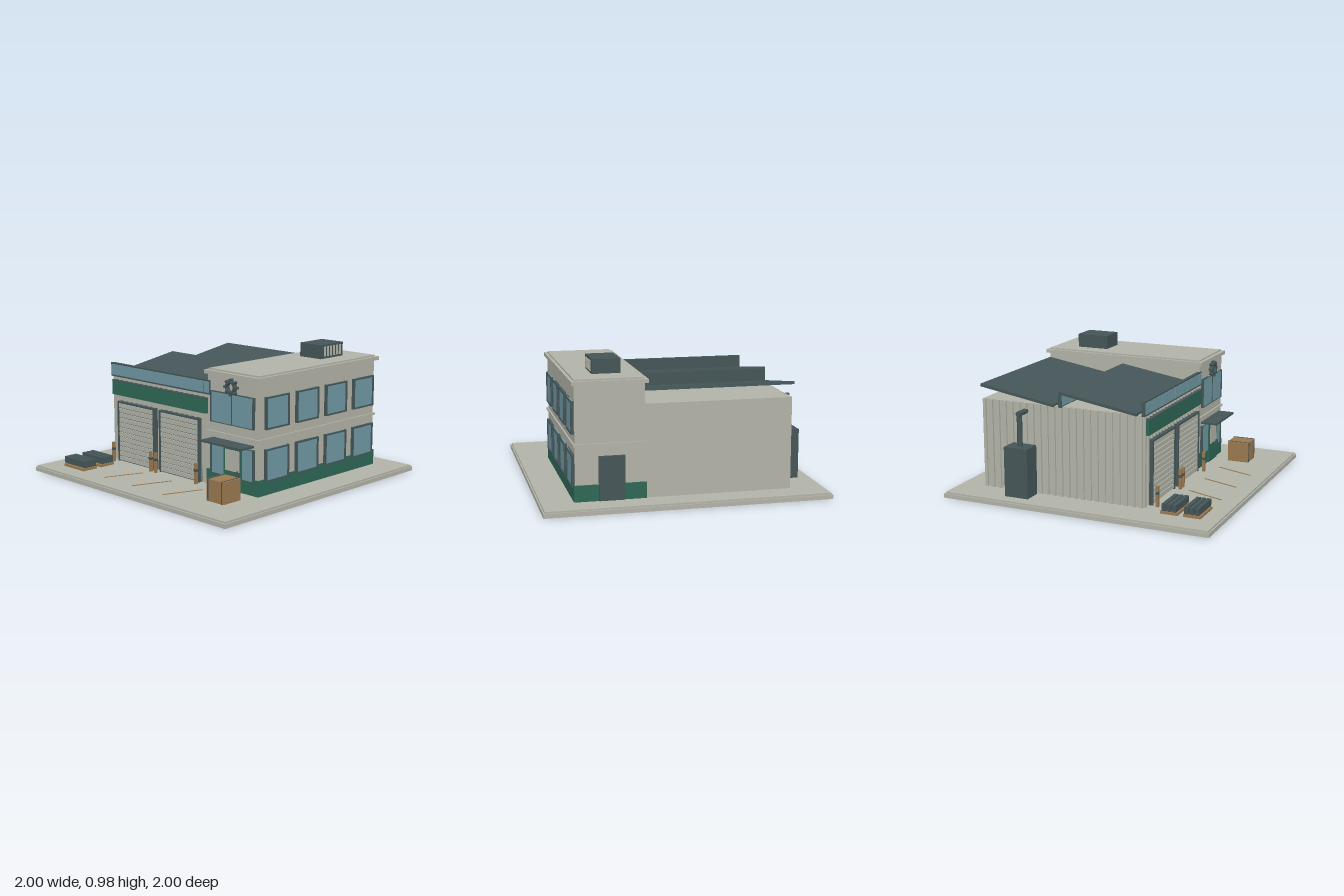
import * as THREE from 'three';

const mat = (name, color) => {
  const m = new THREE.MeshStandardMaterial({ color });
  m.name = name;
  return m;
};

export function createModel() {
  const root = new THREE.Group();
  root.name = 'workshop';
  const wall = mat('pale concrete', 0xb2b3a7);
  const dark = mat('dark slate metal', 0x455658);
  const glass = mat('blue glass', 0x7099a4);
  const green = mat('deep green', 0x2e6755);
  const wood = mat('tan timber', 0x9b7950);

  const add = (name, geo, m, parent = root) => {
    const mesh = new THREE.Mesh(geo, m);
    mesh.name = name;
    parent.add(mesh);
    return mesh;
  };
  // Box given by its min and max on each axis
  const box = (name, m, x0, x1, y0, y1, z0, z1, parent = root) => {
    const b = add(name, new THREE.BoxGeometry(x1 - x0, y1 - y0, z1 - z0), m, parent);
    b.position.set((x0 + x1) / 2, (y0 + y1) / 2, (z0 + z1) / 2);
    return b;
  };
  const group = (name) => {
    const g = new THREE.Group();
    g.name = name;
    root.add(g);
    return g;
  };

  // Ground slab
  box('slab', wall, -1, 1, 0, 0.03, -1, 1);
  box('slabTop', wall, -0.99, 0.99, 0.03, 0.042, -0.99, 0.99);

  // Hall with ribbed cladding on the front and left side
  const hall = group('hall');
  box('hallWalls', wall, -0.74, 0.28, 0.04, 0.69, -0.81, 0.43, hall);
  for (let i = 0; i < 19; i++) {
    const x = -0.73 + i * 0.055;
    box('frontRib', wall, x - 0.01, x + 0.01, 0.04, 0.69, 0.43, 0.443, hall);
  }
  for (let i = 0; i < 23; i++) {
    const z = -0.795 + i * 0.055;
    box('sideRib', wall, -0.755, -0.74, 0.04, 0.69, z - 0.011, z + 0.011, hall);
  }

  // Two clerestories, each followed by a roof sheet rising to the back
  for (const z of [0.435, -0.19]) {
    const tooth = group('roofTooth');
    const right = z > 0 ? 0.305 : 0.28;
    box('clerestoryFrame', dark, -0.76, right, 0.685, 0.788, z - 0.012, z + 0.012, tooth);
    for (let i = 0; i < 5; i++) {
      const edges = [-0.752, -0.467, -0.23, 0.005, 0.245, right - 0.008];
      box('clerestoryPane', glass, edges[i] + 0.003, edges[i + 1] - 0.003, 0.697, 0.777, z + 0.012, z + 0.016, tooth);
    }
    const run = 0.58, rise = 0.095;
    const roof = add('roofSheet', new THREE.BoxGeometry(1.045, 0.02, Math.hypot(run, rise)), dark, tooth);
    roof.position.set(-0.2425, 0.742, z - 0.045 - run / 2);
    roof.rotation.x = Math.atan2(rise, run);
  }

  // Fascia band over the doors
  box('fascia', green, -0.73, 0.275, 0.55, 0.655, 0.43, 0.465, hall);
  box('fasciaTrim', dark, -0.73, 0.275, 0.655, 0.662, 0.43, 0.467, hall);

  // Roller doors
  for (const [x0, x1] of [[-0.67, -0.258], [-0.205, 0.215]]) {
    const door = group('rollerDoor');
    box('doorFrame', dark, x0, x1, 0.042, 0.505, 0.43, 0.455, door);
    for (let i = 0; i < 12; i++) {
      const y = 0.05 + i * 0.037;
      box('doorSlat', wall, x0 + 0.014, x1 - 0.014, y, y + 0.031, 0.45, 0.464, door);
    }
    for (const x of [x0, x1 - 0.014]) box('doorJamb', dark, x, x + 0.014, 0.042, 0.505, 0.45, 0.47, door);
    box('doorHead', dark, x0, x1, 0.492, 0.505, 0.45, 0.47, door);
  }

  // Office block with plinth, string course and stepped cap
  const office = group('office');
  box('officeWalls', wall, 0.28, 0.76, 0.04, 0.84, -0.81, 0.44, office);
  box('plinth', green, 0.273, 0.77, 0.042, 0.155, -0.82, 0.45, office);
  box('stringCourse', wall, 0.273, 0.772, 0.42, 0.437, -0.822, 0.452, office);
  box('capLower', wall, 0.262, 0.782, 0.835, 0.862, -0.838, 0.462, office);
  box('capUpper', wall, 0.285, 0.76, 0.862, 0.873, -0.815, 0.435, office);

  // Side windows on two floors: frame bars around a pane
  for (const [y0, y1] of [[0.135, 0.365], [0.5, 0.725]]) {
    for (const z of [0.264, -0.048, -0.36, -0.672]) {
      const w = group('sideWindow');
      box('pane', glass, 0.76, 0.773, y0, y1, z - 0.11, z + 0.11, w);
      for (const s of [-1, 1]) {
        const e = z + s * 0.111;
        box('frameSide', dark, 0.76, 0.781, y0, y1, e - 0.006, e + 0.006, w);
      }
      for (const y of [y0, y1 - 0.011]) box('frameRail', dark, 0.76, 0.781, y, y + 0.011, z - 0.117, z + 0.117, w);
    }
  }

  // Front windows
  for (const [y0, y1] of [[0.135, 0.362], [0.503, 0.722]]) {
    const w = group('frontWindow');
    box('pane', glass, 0.322, 0.722, y0, y1, 0.44, 0.453, w);
    for (const x of [0.318, 0.72]) box('frameSide', dark, x, x + 0.01, y0, y1, 0.44, 0.459, w);
    for (const y of [y0, y1 - 0.005]) box('frameRail', dark, 0.318, 0.73, y, y + 0.005, 0.44, 0.457, w);
    box('mullion', dark, 0.52, 0.526, y0, y1, 0.44, 0.457, w);
  }

  // Entrance door and canopy
  const entrance = group('entrance');
  box('doorLeaf', green, 0.455, 0.622, 0.045, 0.35, 0.44, 0.463, entrance);
  box('doorPane', wall, 0.472, 0.607, 0.185, 0.335, 0.463, 0.467, entrance);
  box('doorHandle', dark, 0.59, 0.598, 0.15, 0.195, 0.463, 0.482, entrance);
  box('canopy', dark, 0.33, 0.72, 0.377, 0.391, 0.44, 0.565, entrance);

  // Back door
  box('backDoor', dark, 0.42, 0.6, 0.042, 0.35, -0.828, -0.81, office);

  // Cog ornament
  const cog = new THREE.Shape();
  const teeth = 8;
  for (let i = 0; i < teeth; i++) {
    [[-0.36, 0.045], [-0.2, 0.06], [0.2, 0.06], [0.36, 0.045]].forEach(([t, r], k) => {
      const a = ((i + t * 0.75) / teeth) * Math.PI * 2;
      cog[i + k ? 'lineTo' : 'moveTo'](r * Math.cos(a), r * Math.sin(a));
    });
  }
  cog.closePath();
  cog.holes.push(new THREE.Path().absarc(0, 0, 0.029, 0, Math.PI * 2, true));
  const cogMesh = add('cogOrnament', new THREE.ExtrudeGeometry(cog, { depth: 0.03, bevelEnabled: false, curveSegments: 12 }), dark, office);
  cogMesh.position.set(0.522, 0.77, 0.445);

  // Rooftop air unit with vent bars
  const unit = group('rooftopUnit');
  box('unitCase', dark, 0.41, 0.608, 0.873, 0.975, -0.627, -0.38, unit);
  for (let i = 0; i < 6; i++) {
    const z = -0.59 + i * 0.034;
    box('ventBar', wall, 0.608, 0.616, 0.89, 0.96, z - 0.008, z + 0.008, unit);
  }

  // Extractor cabinet and its elbow duct
  const extractor = group('extractor');
  box('cabinet', dark, -0.903, -0.765, 0.042, 0.4, -0.557, -0.376, extractor);
  const ductUp = add('ductRiser', new THREE.CylinderGeometry(0.019, 0.019, 0.25, 12), dark, extractor);
  ductUp.position.set(-0.835, 0.515, -0.465);
  const ductIn = add('ductBranch', new THREE.CylinderGeometry(0.019, 0.019, 0.115, 12), dark, extractor);
  ductIn.rotation.z = Math.PI / 2;
  ductIn.position.set(-0.797, 0.632, -0.465);

  // Stacked pallets of metal bars
  for (const z of [0.647, 0.81]) {
    const pallet = group('pallet');
    box('palletDeck', wood, -0.815, -0.585, 0.048, 0.066, z - 0.062, z + 0.062, pallet);
    for (const d of [-0.038, 0, 0.038]) {
      box('metalBar', dark, -0.818, -0.582, 0.07, 0.12, z + d - 0.014, z + d + 0.014, pallet);
    }
  }

  // Strapped crate
  const crate = group('crate');
  box('crateBody', wood, 0.568, 0.727, 0.042, 0.195, 0.577, 0.74, crate);
  for (const x of [0.582, 0.712]) box('crateStrap', dark, x - 0.004, x + 0.004, 0.042, 0.198, 0.574, 0.743, crate);

  // Bollards guarding the doors
  for (const x of [-0.677, -0.255, -0.203, 0.222]) {
    const post = group('bollard');
    box('post', wood, x - 0.01, x + 0.01, 0.042, 0.192, 0.497, 0.517, post);
    box('postBand', dark, x - 0.011, x + 0.011, 0.13, 0.15, 0.496, 0.518, post);
  }

  // Slanted parking lines
  for (const x of [-0.313, -0.003, 0.313]) {
    const line = add('parkingLine', new THREE.BoxGeometry(0.012, 0.004, 0.297), wood);
    line.position.set(x, 0.043, 0.72);
    line.rotation.y = -Math.atan2(0.105, 0.28);
  }

  return root;
}
